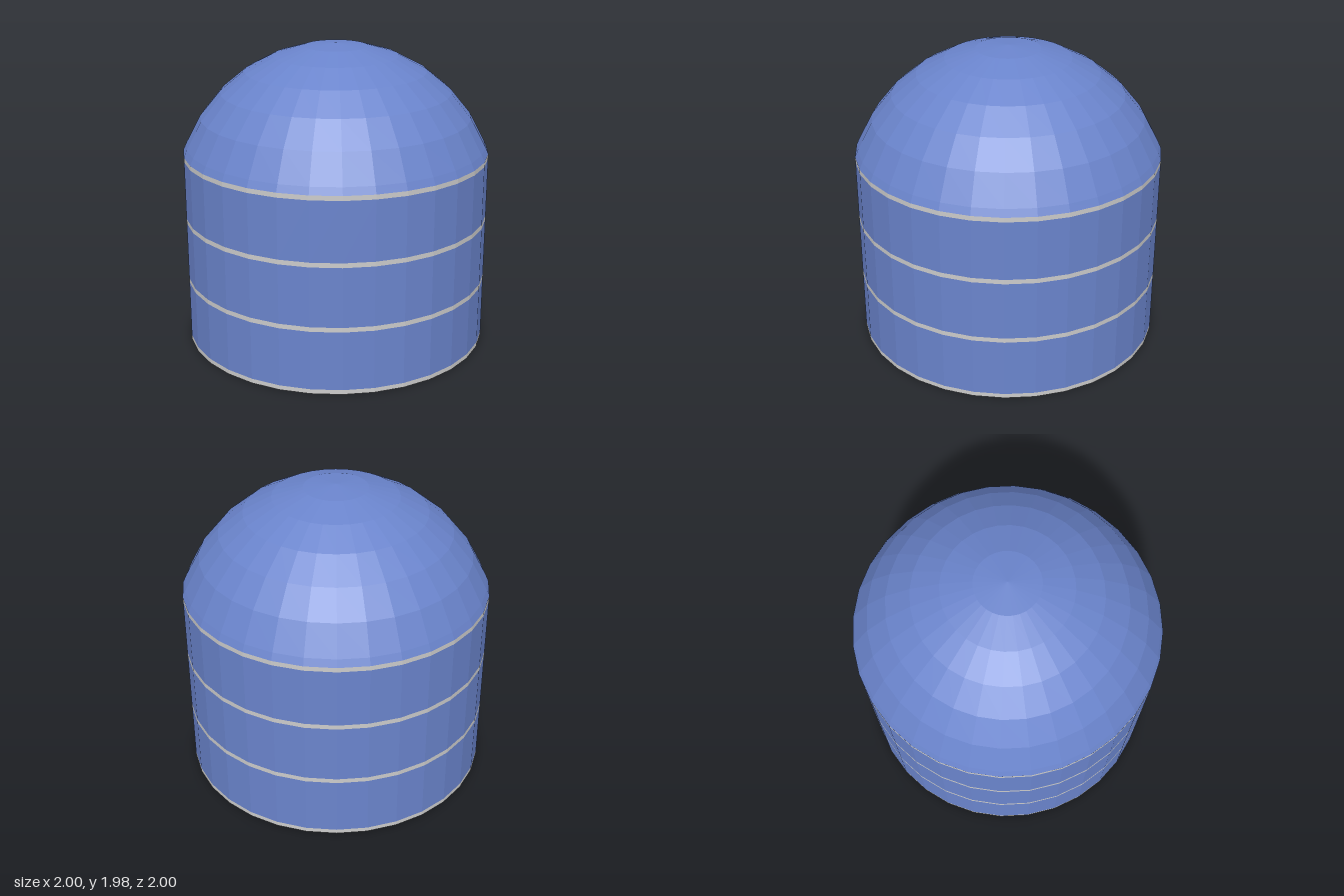
import * as THREE from 'three';

const SEGMENTS = 32;
const BAND = 0.03;    // height of each pale band
const PITCH = 0.4165; // spacing between bands
const blue = new THREE.MeshStandardMaterial({ color: 0x6a84cc, flatShading: true });
const grey = new THREE.MeshStandardMaterial({ color: 0xcccccc, flatShading: true });

export function createModel() {
  const model = new THREE.Group();

  function add(name, geometry, material, y) {
    const mesh = new THREE.Mesh(geometry, material);
    mesh.name = name;
    mesh.position.y = y;
    model.add(mesh);
  }

  // A faceted drum section standing on y = bottom
  function drum(name, bottom, height, material, open) {
    const geometry = new THREE.CylinderGeometry(1, 1, height, SEGMENTS, 1, open);
    add(name, geometry, material, bottom + height / 2);
  }

  // Base plate, then wall courses alternating with thin bands
  drum('basePlate', 0, BAND, grey, false);
  for (let i = 0; i < 3; i++) {
    drum('wallCourse' + (i + 1), i * PITCH + BAND, PITCH - BAND, blue, true);
    drum('band' + (i + 1), (i + 1) * PITCH, BAND, grey, true);
  }

  // Shallow dome: part of a larger sphere, ending flush with the wall
  const radius = 1.06, top = 1.98;
  const profile = [new THREE.Vector2(1, 3 * PITCH + BAND)];
  for (let i = 6; i >= 0; i--) {
    const a = (i * Math.PI) / 16;
    profile.push(new THREE.Vector2(radius * Math.sin(a), top - radius * (1 - Math.cos(a))));
  }
  add('dome', new THREE.LatheGeometry(profile, SEGMENTS), blue, 0);

  return model;
}
